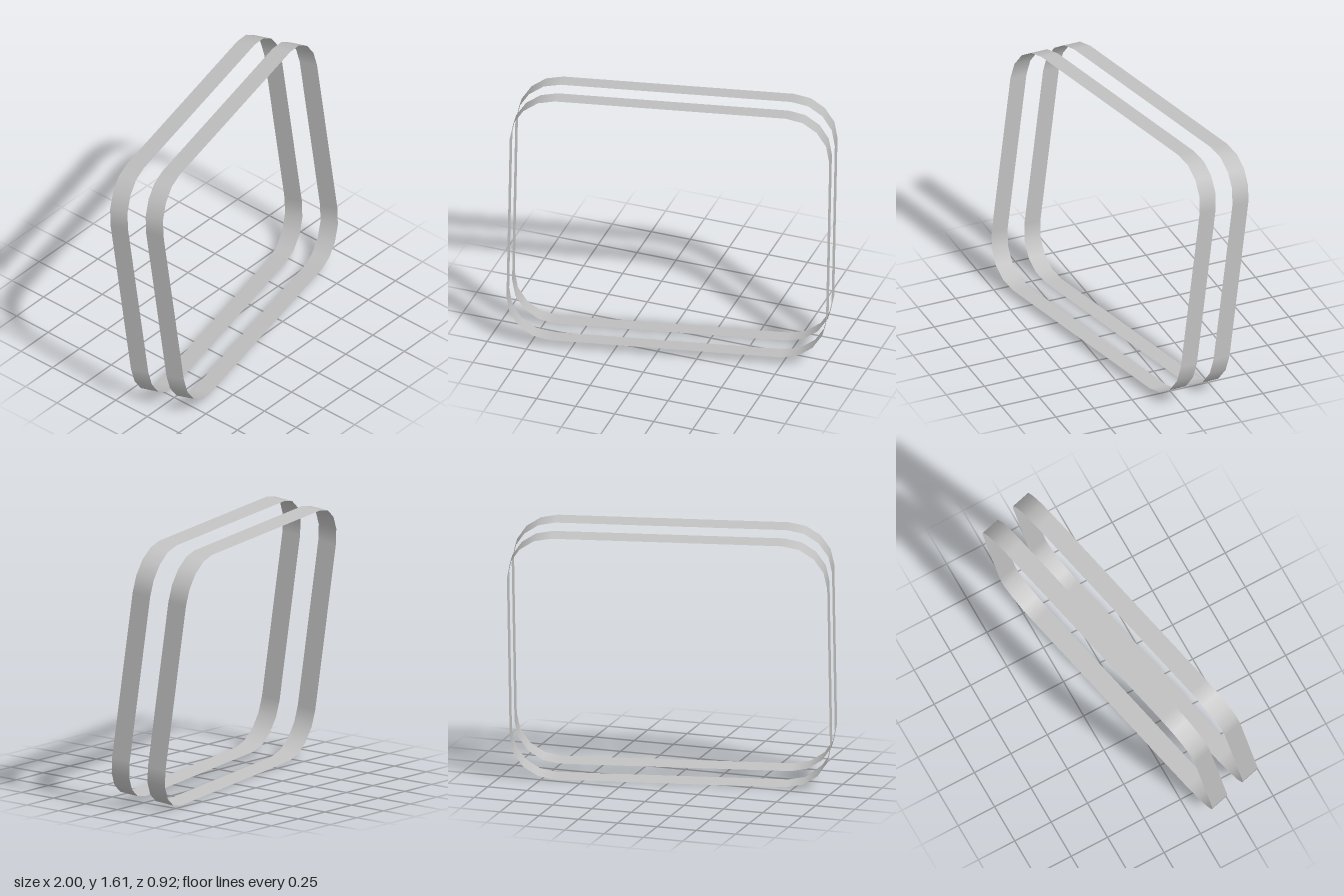
import * as THREE from 'three';

const WIDTH = 1.94, HEIGHT = 1.58, RADIUS = 0.27, SEGMENTS = 4;
const BAND = 0.12, SPACING = 0.245;

// Open band: a rounded rectangle swept along z, with smooth corner normals
function bandGeometry() {
  const pos = [], nor = [], idx = [];
  const cx = WIDTH / 2 - RADIUS, cy = HEIGHT / 2 - RADIUS;
  const corners = [[1, 1], [-1, 1], [-1, -1], [1, -1]];
  corners.forEach(([sx, sy], c) => {
    for (let i = 0; i <= SEGMENTS; i++) {
      const a = (c + i / SEGMENTS) * Math.PI / 2;
      const nx = Math.cos(a), ny = Math.sin(a);
      for (const z of [-BAND / 2, BAND / 2]) {
        pos.push(sx * cx + RADIUS * nx, sy * cy + RADIUS * ny, z);
        nor.push(nx, ny, 0);
      }
    }
  });
  const n = corners.length * (SEGMENTS + 1);
  for (let i = 0; i < n; i++) {
    const a = 2 * i, b = 2 * ((i + 1) % n);
    idx.push(a, b, b + 1, a, b + 1, a + 1);
  }
  const geo = new THREE.BufferGeometry();
  geo.setAttribute('position', new THREE.Float32BufferAttribute(pos, 3));
  geo.setAttribute('normal', new THREE.Float32BufferAttribute(nor, 3));
  geo.setIndex(idx);
  return geo;
}

export function createModel() {
  const grey = new THREE.MeshStandardMaterial({ color: 0xc0c0c0, side: THREE.DoubleSide });
  grey.name = 'light grey';

  // Two parallel bands, leaned back and turned together
  const bands = new THREE.Group();
  bands.name = 'bands';
  const geo = bandGeometry();
  for (const [name, side] of [['frontBand', 1], ['backBand', -1]]) {
    const band = new THREE.Mesh(geo, grey);
    band.name = name;
    band.position.z = side * SPACING / 2;
    bands.add(band);
  }
  bands.rotation.set(THREE.MathUtils.degToRad(-7.7), THREE.MathUtils.degToRad(12.2), 0, 'YXZ');
  bands.position.y = 0.807;

  const model = new THREE.Group();
  model.name = 'roundedFrame';
  model.add(bands);
  return model;
}
